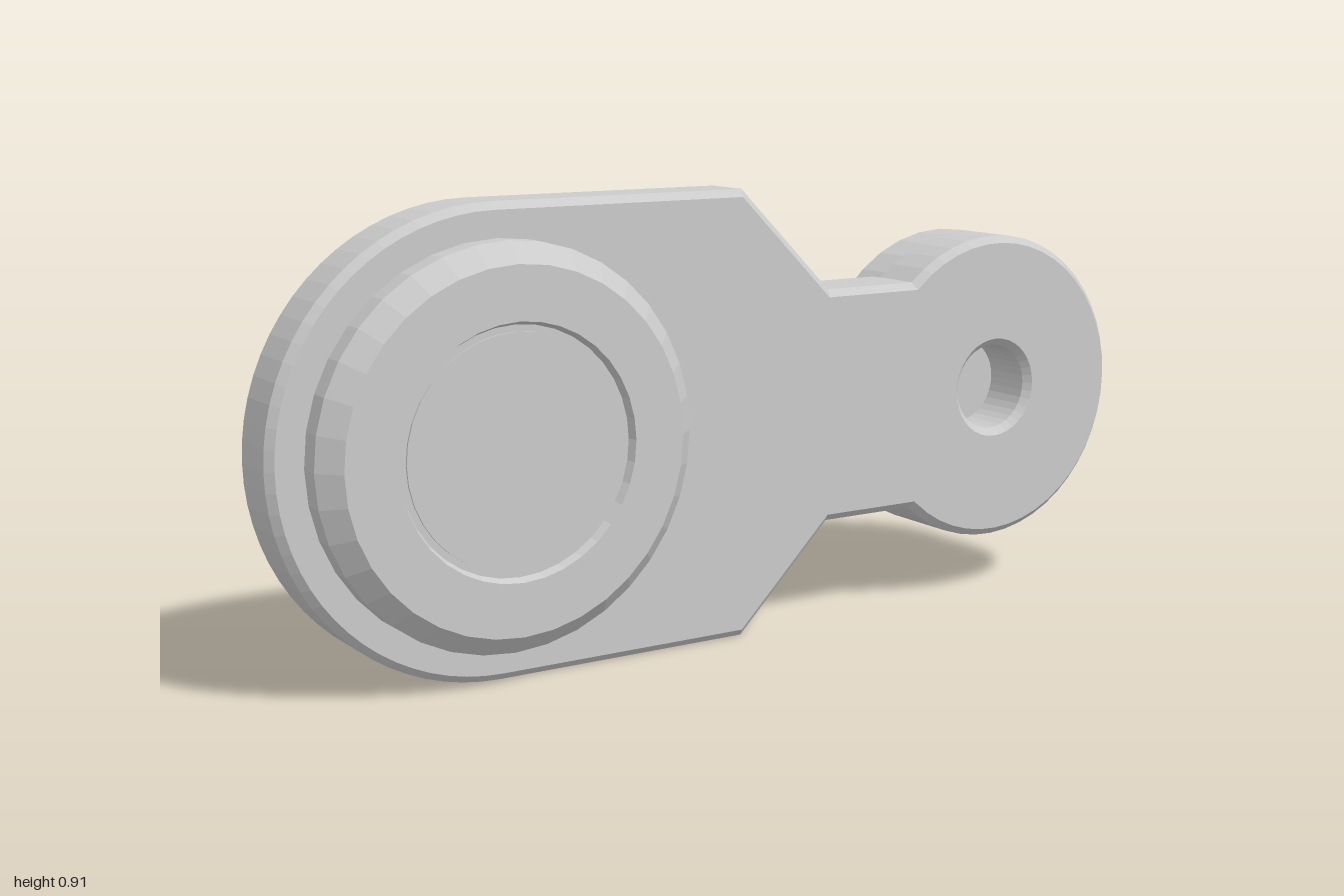
import * as THREE from 'three';

const grey = new THREE.MeshStandardMaterial({ color: 0xcccccc, flatShading: true });
const red = new THREE.MeshStandardMaterial({ color: 0xc42534, flatShading: true });
const BIG_X = -0.543, BIG_R = 0.457, RING_X = 0.665, RING_R = 0.33, NECK = 0.243;

function add(parent, name, geometry, material = grey) {
  const mesh = new THREE.Mesh(geometry, material);
  mesh.name = name;
  parent.add(mesh);
  return mesh;
}

// Extrudes a shape between two z values
function slab(shape, z0, z1) {
  return new THREE.ExtrudeGeometry(shape, { depth: z1 - z0, bevelEnabled: false, curveSegments: 18 }).translate(0, 0, z0);
}

// Lathe about the z axis, profile as [radius, z]
function turned(profile, x, segments = 36) {
  const points = profile.map(([r, z]) => new THREE.Vector2(r, z));
  return new THREE.LatheGeometry(points, segments).rotateX(Math.PI / 2).translate(x, 0, 0);
}

// Cylinder lying along x
function barX(radius, x0, x1, y, z) {
  return new THREE.CylinderGeometry(radius, radius, x1 - x0, 12).rotateZ(Math.PI / 2).translate((x0 + x1) / 2, y, z);
}

// Straight-sided outline with a round left end
function roundEnded(r, xEnd) {
  const s = new THREE.Shape();
  s.moveTo(xEnd, -r);
  s.lineTo(xEnd, r);
  s.lineTo(BIG_X, r);
  s.absarc(BIG_X, 0, r, Math.PI / 2, Math.PI * 1.5, false);
  return s;
}

// Full outline: round body, chamfered shoulders, neck and small round end
function bodyOutline() {
  const a = Math.PI - Math.asin(NECK / RING_R);
  const s = new THREE.Shape();
  s.moveTo(BIG_X, -BIG_R);
  s.lineTo(0.01, -BIG_R);
  s.lineTo(0.224, -NECK);
  s.absarc(RING_X, 0, RING_R, -a, a, false);
  s.lineTo(0.224, NECK);
  s.lineTo(0.01, BIG_R);
  s.lineTo(BIG_X, BIG_R);
  s.absarc(BIG_X, 0, BIG_R, Math.PI / 2, Math.PI * 1.5, false);
  const hole = new THREE.Path();
  hole.absarc(RING_X, 0, 0.092, 0, Math.PI * 2, true);
  s.holes.push(hole);
  return s;
}

// U-shaped sloping frame, swept cross-section with a slot in each arm
function frameGeometry() {
  const slope = h => -0.02 - (BIG_R - h) * 0.08 / 0.19;
  const section = slot => [
    [BIG_R, -0.02], [0.397, slope(0.397)],
    [0.396, slot ? -0.024 : slope(0.396)], [0.344, slot ? -0.024 : slope(0.344)],
    [0.343, slope(0.343)], [0.267, -0.1], [0.247, -0.088], [0.24, -0.02],
  ];
  const arm = (side, xOf, slot) => section(slot).map(([h, z]) => [xOf(h), side * h, z]);
  const armStations = side => [
    arm(side, h => 0.01 + BIG_R - h, false),
    arm(side, () => -0.07, false), arm(side, () => -0.07, true),
    arm(side, () => -0.54, true), arm(side, () => -0.54, false),
  ];
  const arc = [];
  for (let i = 0; i <= 18; i++) {
    const t = Math.PI / 2 + Math.PI * i / 18;
    arc.push(section(false).map(([h, z]) => [BIG_X + h * Math.cos(t), h * Math.sin(t), z]));
  }
  const stations = [...armStations(1), ...arc, ...armStations(-1).reverse()];
  const n = 8, index = [], last = (stations.length - 1) * n;
  for (let i = 0; i < stations.length - 1; i++) {
    for (let j = 0; j < n - 1; j++) {
      const a = i * n + j, b = a + n;
      index.push(a, a + 1, b, a + 1, b + 1, b);
    }
  }
  for (let k = 1; k < n - 1; k++) index.push(0, k + 1, k, last, last + k, last + k + 1);
  const g = new THREE.BufferGeometry();
  g.setAttribute('position', new THREE.Float32BufferAttribute(stations.flat(2), 3));
  g.setIndex(index);
  const flat = g.toNonIndexed();
  flat.computeVertexNormals();
  return flat;
}

// Half of the slotted disc, with a round notch at its centre
function slottedHalf() {
  const R = 0.16, n = 0.068, s = 0.024;
  const shape = new THREE.Shape();
  const a = Math.asin(s / R), b = Math.asin(s / n);
  shape.absarc(0, 0, R, a, Math.PI - a, false);
  shape.absarc(0, 0, n, Math.PI - b, b, true);
  return slab(shape, -0.085, -0.025);
}

export function createModel() {
  const model = new THREE.Group();
  model.name = 'model';
  const core = new THREE.Group();
  core.name = 'device';
  core.position.y = BIG_R;
  model.add(core);

  // Body plate with a bevelled front edge
  const outline = bodyOutline();
  add(core, 'bodyPlate', slab(outline, -0.02, 0.08));
  add(core, 'bodyFrontBevel', new THREE.ExtrudeGeometry(outline, {
    depth: 0.01, bevelThickness: 0.015, bevelSize: 0.015, bevelOffset: -0.015, bevelSegments: 1, curveSegments: 18,
  }).translate(0, 0, 0.075));

  // Round boss on the front
  add(core, 'frontBoss', turned([[0.39, 0.09], [0.39, 0.145], [0.35, 0.185], [0.245, 0.185],
    [0.238, 0.168], [0.225, 0.168], [0.225, 0.172], [0, 0.172]], -0.54));

  // Back frame, channel floor and end panel
  add(core, 'backFrame', frameGeometry());
  add(core, 'channelFloor', slab(roundEnded(0.242, 0.442), -0.05, -0.02));
  add(core, 'endPanel', slab(roundEnded(0.205, -0.39), -0.078, -0.05));
  add(core, 'slidePlate', new THREE.BoxGeometry(0.81, 0.472, 0.018).translate(0.035, 0, -0.058), red);

  // Hinge pins in the frame slots
  for (const side of [1, -1]) {
    const hinge = new THREE.Group();
    hinge.name = side > 0 ? 'upperHinge' : 'lowerHinge';
    core.add(hinge);
    const y = side * 0.37;
    add(hinge, 'pin', barX(0.014, -0.54, -0.07, y, -0.044));
    for (const x of [-0.45, -0.305, -0.16]) add(hinge, 'barrel', barX(0.021, x - 0.05, x + 0.05, y, -0.044));
  }

  // Ring at the small end, with a slotted disc inside
  add(core, 'ring', turned([[0, -0.03], [0.21, -0.03], [0.21, -0.1], [0.25, -0.145], [0.29, -0.145],
    [RING_R, -0.1], [RING_R, -0.02], [0, -0.02]], RING_X));
  for (const turn of [0, Math.PI]) {
    add(core, 'slottedDiscHalf', slottedHalf().rotateZ(turn).translate(RING_X, 0, 0));
  }

  // Wedge-shaped slider: profile in x and depth, extruded along y
  const wedge = new THREE.Shape([[-0.37, 0.05], [-0.11, 0.05], [-0.11, 0.188], [-0.2, 0.188], [-0.37, 0.098]]
    .map(([x, d]) => new THREE.Vector2(x, d)));
  add(core, 'slider', new THREE.ExtrudeGeometry(wedge, {
    depth: 0.392, bevelThickness: 0.02, bevelSize: 0.022, bevelOffset: -0.022, bevelSegments: 1,
  }).translate(0, 0, -0.196).rotateX(-Math.PI / 2).applyMatrix4(new THREE.Matrix4().makeRotationX(-Math.PI / 2))
    .applyMatrix4(new THREE.Matrix4().makeRotationX(Math.PI / 2)).rotateX(Math.PI / 2).rotateX(-Math.PI / 2), red);

  // Push rod, its cross bar and the sleeve at the ring
  add(core, 'pushRod', barX(0.027, -0.1, 0.26, 0, -0.1));
  add(core, 'rodSleeve', barX(0.04, 0.225, 0.405, 0, -0.104));
  add(core, 'crossBar', new THREE.CapsuleGeometry(0.03, 0.12, 3, 12).translate(-0.1, 0, -0.103));

  return model;
}
